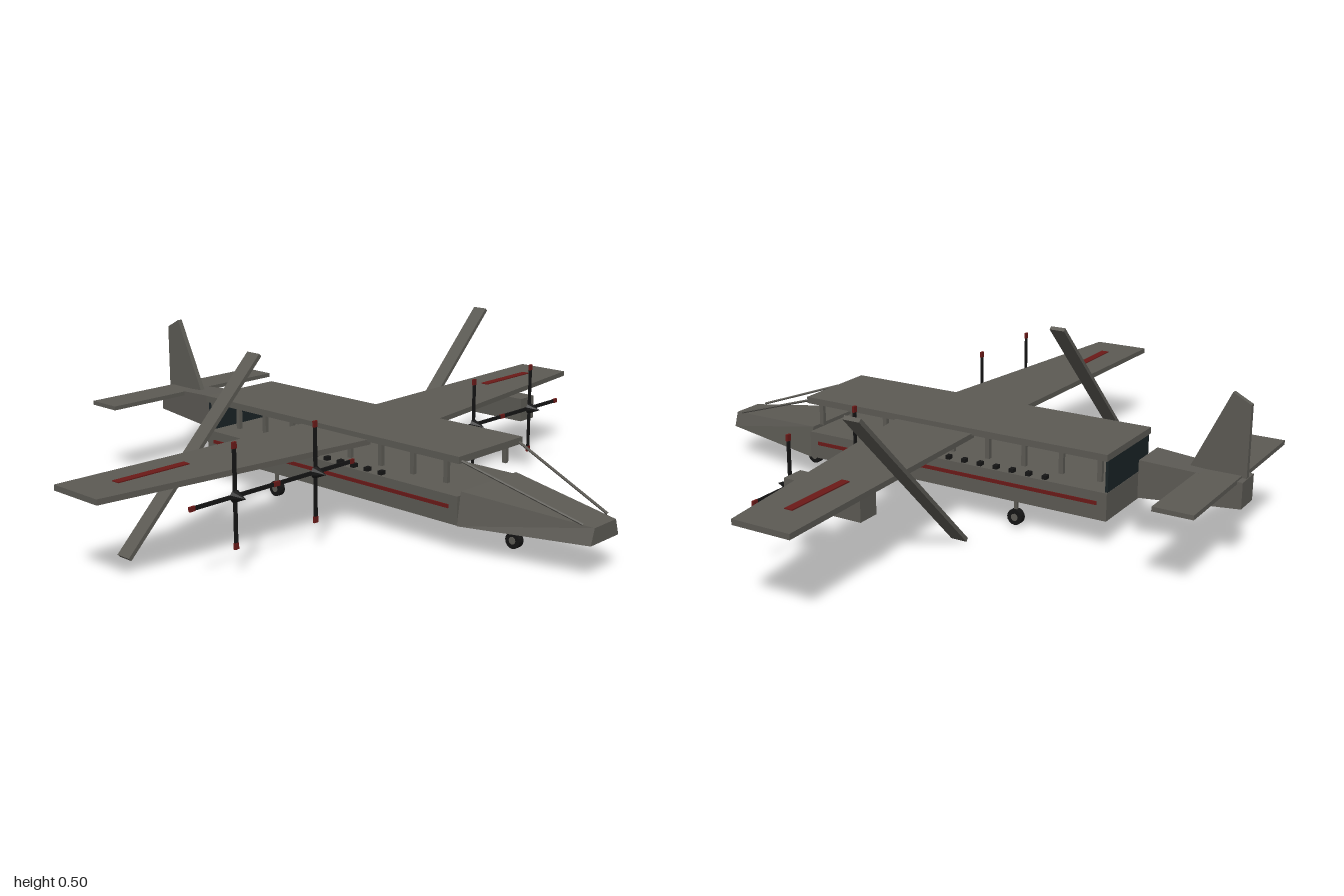
import * as THREE from 'three';

const mat = (color) => new THREE.MeshStandardMaterial({ color, flatShading: true });

export function createModel() {
  const model = new THREE.Group();
  const grey = mat(0x5c5a54), black = mat(0x151515), red = mat(0x6b1a18), glass = mat(0x1a2326);

  const add = (name, geo, material, x = 0, y = 0, z = 0, parent = model) => {
    const mesh = new THREE.Mesh(geo, material);
    mesh.name = name;
    mesh.position.set(x, y, z);
    parent.add(mesh);
    return mesh;
  };
  const box = (name, material, w, h, d, x, y, z, parent) =>
    add(name, new THREE.BoxGeometry(w, h, d), material, x, y, z, parent);

  // Box whose front and back faces are set separately: [topHalfWidth, bottomHalfWidth, y0, y1]
  const frustum = (zBack, back, zFront, front) => {
    const geo = new THREE.BoxGeometry(2, 1, 1), p = geo.attributes.position;
    for (let i = 0; i < p.count; i++) {
      const isFront = p.getZ(i) > 0, isTop = p.getY(i) > 0;
      const s = isFront ? front : back;
      p.setXYZ(i, Math.sign(p.getX(i)) * (isTop ? s[0] : s[1]), isTop ? s[3] : s[2], isFront ? zFront : zBack);
    }
    geo.computeVertexNormals();
    return geo;
  };
  const plate = (points, depth) => new THREE.ExtrudeGeometry(
    new THREE.Shape(points.map(([x, y]) => new THREE.Vector2(x, y))), { depth, bevelEnabled: false });
  const rod = (name, a, b, r, material) => {
    const curve = new THREE.LineCurve3(new THREE.Vector3(...a), new THREE.Vector3(...b));
    add(name, new THREE.TubeGeometry(curve, 1, r, 6), material);
  };

  // Fuselage: lower hull, roof, tapered nose, rear bulkhead
  box('hull', grey, 0.28, 0.083, 1.03, 0, 0.139, -0.015);
  box('roof', grey, 0.286, 0.02, 1.035, 0, 0.284, -0.012);
  add('nose', frustum(0.5, [0.125, 0.14, 0.096, 0.192], 0.88, [0.05, 0.065, 0.112, 0.158]), grey);
  box('rearBulkhead', glass, 0.265, 0.11, 0.008, 0, 0.22, -0.525);

  for (const s of [-1, 1]) {
    // Cabin side details
    for (let i = 0; i < 9; i++)
      box('windowPillar', grey, 0.012, 0.066, 0.014, s * 0.132, 0.243, 0.455 - i * 0.12);
    for (let i = 0; i < 11; i++)
      box('sillBlock', black, 0.018, 0.012, 0.014, s * 0.125, 0.186, 0.21 - i * 0.054);
    box('sideStripe', red, 0.004, 0.011, 0.97, s * 0.141, 0.147, -0.015);
    rod('windscreenStrut', [s * 0.13, 0.28, 0.505], [s * 0.058, 0.163, 0.85], 0.004, grey);

    // Tapered wing with a stripe on top
    const outline = [[0.13, -0.095], [1, -0.12], [1, 0.06], [0.13, 0.172]].map(([x, z]) => [s * x, z]);
    add('wing', plate(outline, 0.016).rotateX(Math.PI / 2), grey, 0, 0.279, 0);
    box('wingStripe', red, 0.235, 0.004, 0.025, s * 0.765, 0.28, -0.021);

    // Slanted slat behind each wing, both leaning the same way
    const slat = box('slantedSlat', grey, 0.695, 0.012, 0.05, s * 0.53, 0.26, -0.143);
    slat.rotation.z = Math.PI / 4;

    // Propellers: four blades, tips and spinner
    for (const x of [0.35, 0.645]) {
      const prop = new THREE.Group();
      prop.name = 'propeller';
      prop.position.set(s * x, 0.228, 0.168);
      model.add(prop);
      box('verticalBlades', black, 0.011, 0.28, 0.005, 0, 0, 0, prop);
      box('horizontalBlades', black, 0.3, 0.011, 0.005, 0, 0, 0, prop);
      for (const t of [-1, 1]) {
        box('bladeTip', red, 0.014, 0.018, 0.007, 0, t * 0.137, 0, prop);
        box('bladeTip', red, 0.018, 0.013, 0.007, t * 0.145, 0, 0, prop);
      }
      add('spinner', new THREE.ConeGeometry(0.018, 0.042, 10).rotateX(Math.PI / 2), black, 0, 0, 0.021, prop);
    }
  }

  // Single pod under the left wing
  box('wingPod', grey, 0.07, 0.075, 0.25, 0.645, 0.226, 0.035);

  // Tail: boom, tailplane, fin
  add('tailBoom', frustum(-0.88, [0.042, 0.042, 0.174, 0.25], -0.587, [0.063, 0.063, 0.155, 0.266]), grey);
  box('tailplane', grey, 0.68, 0.013, 0.115, 0, 0.25, -0.807);
  const fin = [[0.712, 0.25], [0.825, 0.485], [0.878, 0.457], [0.878, 0.25]];
  add('fin', plate(fin, 0.016).rotateY(Math.PI / 2), grey, -0.008, 0, 0);

  // Landing gear
  for (const [x, z] of [[0, 0.592], [-0.118, -0.232], [0.118, -0.232]]) {
    box('gearLeg', grey, 0.008, 0.065, 0.01, x, 0.075, z);
    add('wheel', new THREE.CylinderGeometry(0.024, 0.024, 0.02, 16).rotateZ(Math.PI / 2), black, x, 0.043, z);
    add('wheelHub', new THREE.CylinderGeometry(0.011, 0.011, 0.023, 12).rotateZ(Math.PI / 2), grey, x, 0.043, z);
  }
  // Mirrored plates are wound the right way by the extrusion itself
  return model;
}
